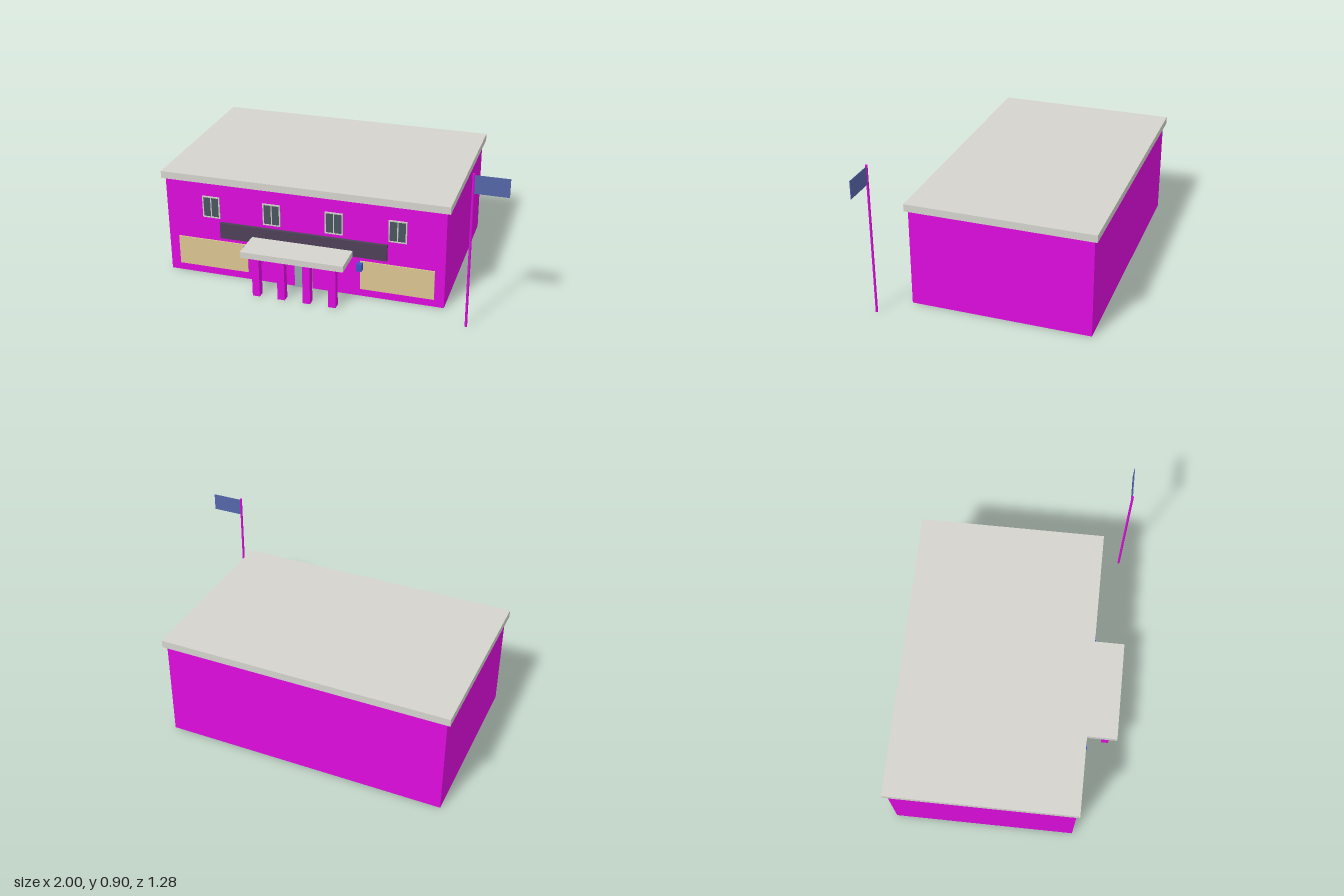
import * as THREE from 'three';

const mat = (color) => new THREE.MeshStandardMaterial({ color });

export function createModel() {
  const model = new THREE.Group();
  const wall = mat(0xdd0cdd), stone = mat(0xd4d3cd), trim = mat(0xd0d0c8), glass = mat(0x4a5560);
  const tan = mat(0xdcc592), dark = mat(0x4e4058), blue = mat(0x3c55c4), doorMat = mat(0x94a8ae);
  const flagMat = mat(0x5566a8);

  // Box given by its extents along each axis
  const box = (name, material, [x0, x1], [y0, y1], [z0, z1], parent = model) => {
    const mesh = new THREE.Mesh(new THREE.BoxGeometry(x1 - x0, y1 - y0, z1 - z0), material);
    mesh.position.set((x0 + x1) / 2, (y0 + y1) / 2, (z0 + z1) / 2);
    mesh.name = name;
    parent.add(mesh);
    return mesh;
  };

  // Main block and overhanging roof slab
  box('walls', wall, [-0.98, 0.66], [0, 0.587], [-0.62, 0.43]);
  box('roof', stone, [-1, 0.68], [0.587, 0.63], [-0.638, 0.446]);

  // Upper windows: a pierced frame with two panes and a mullion
  const outline = new THREE.Shape();
  outline.moveTo(-0.052, -0.066).lineTo(0.052, -0.066).lineTo(0.052, 0.066).lineTo(-0.052, 0.066).closePath();
  for (const side of [-1, 1]) {
    const a = side * 0.003, b = side * 0.045;
    const hole = new THREE.Path();
    hole.moveTo(a, -0.059).lineTo(b, -0.059).lineTo(b, 0.059).lineTo(a, 0.059).closePath();
    outline.holes.push(hole);
  }
  const frameGeometry = new THREE.ExtrudeGeometry(outline, { depth: 0.007, bevelEnabled: false });
  for (const x of [-0.706, -0.341, 0.025, 0.39]) {
    const windowGroup = new THREE.Group();
    windowGroup.name = 'upperWindow';
    windowGroup.position.set(x, 0.436, 0.43);
    const frame = new THREE.Mesh(frameGeometry, trim);
    frame.name = 'windowFrame';
    windowGroup.add(frame);
    box('windowGlass', glass, [-0.048, 0.048], [-0.062, 0.062], [0, 0.004], windowGroup);
    model.add(windowGroup);
  }

  // Wide ground-floor panels and entrance door
  for (const [x0, x1] of [[-0.92, -0.495], [0.178, 0.603]]) {
    box('groundPanel', tan, [x0, x1], [0.047, 0.225], [0.428, 0.437]);
  }
  box('door', doorMat, [-0.21, -0.105], [0, 0.21], [0.428, 0.437]);

  // Fascia board and entrance canopy on four square columns
  box('fasciaBoard', dark, [-0.652, 0.334], [0.254, 0.349], [0.428, 0.45]);
  box('canopy', stone, [-0.457, 0.139], [0.254, 0.29], [0.43, 0.638]);
  for (let i = 0; i < 4; i++) {
    const x = -0.384 + i * 0.149;
    box('canopyColumn', wall, [x - 0.0215, x + 0.0215], [0, 0.256], [0.558, 0.601]);
  }

  // Wall lamps either side of the entrance
  for (const x of [-0.496, 0.179]) {
    box('wallLamp', blue, [x - 0.016, x + 0.016], [0.175, 0.218], [0.43, 0.467]);
  }

  // Flagpole and flag
  const pole = new THREE.Mesh(new THREE.CylinderGeometry(0.007, 0.007, 0.9, 8), wall);
  pole.name = 'flagpole';
  pole.position.set(0.812, 0.45, 0.58);
  model.add(pole);
  box('flag', flagMat, [0.817, 1], [0.79, 0.892], [0.578, 0.582]);

  return model;
}
